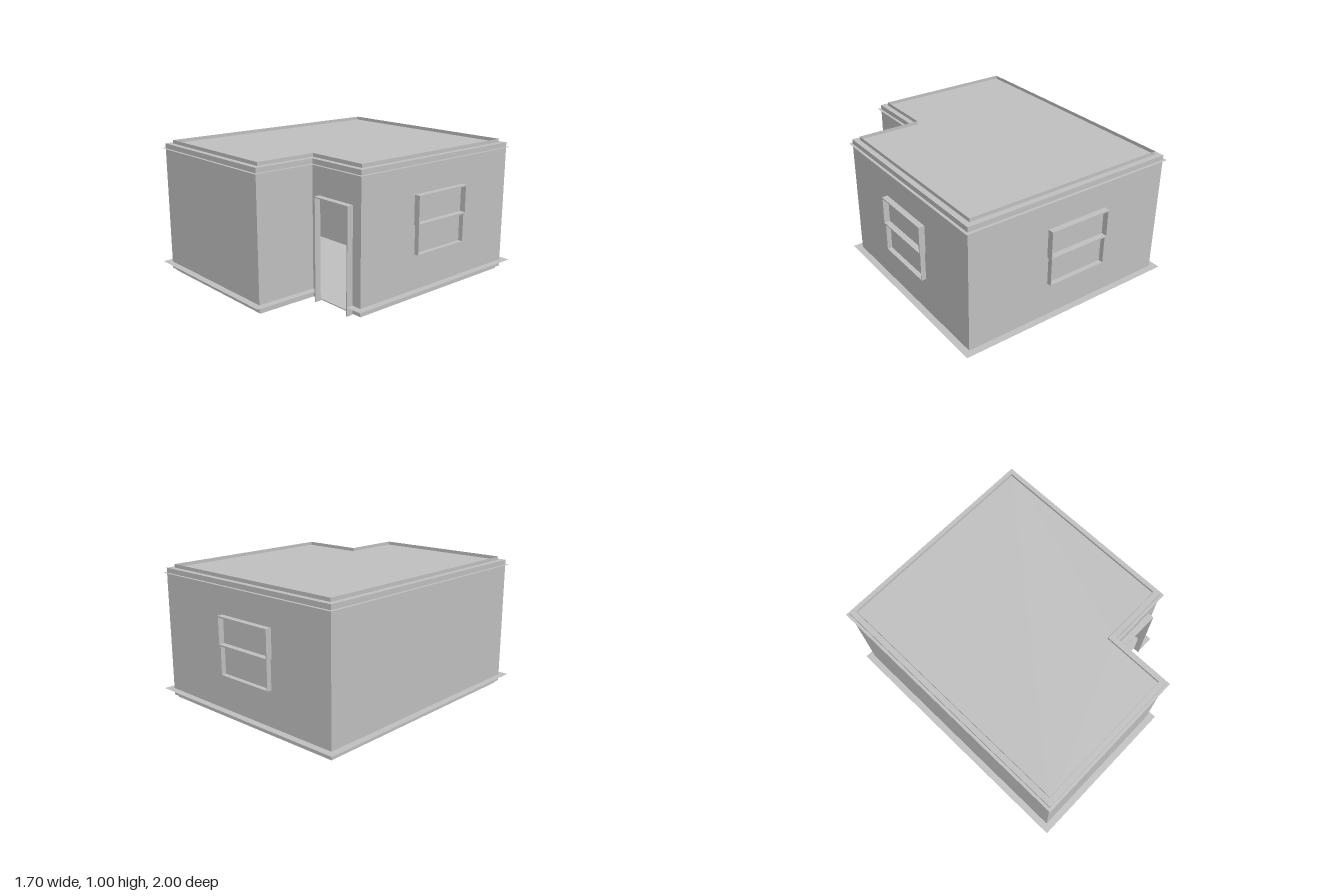
import * as THREE from 'three';

export function createModel() {
  const model = new THREE.Group();
  const plaster = new THREE.MeshStandardMaterial({ color: 0xc0c0c0, side: THREE.DoubleSide });
  plaster.name = 'pale grey plaster';

  // L-shaped plan as (x, z); edge 4 is the doorway
  const plan = [[-0.8, -0.95], [-0.8, 0.95], [0.33, 0.95], [0.33, 0.5],
    [0.4, 0.5], [0.725, 0.5], [0.8, 0.5], [0.8, -0.95]];
  const DOOR = 4;
  const n = plan.length;

  const add = (name, geometry, parent = model) => {
    const mesh = new THREE.Mesh(geometry, plaster);
    mesh.name = name;
    parent.add(mesh);
    return mesh;
  };

  // Outward normal of the edge that starts at point i
  const normal = (i) => {
    const [a, b] = [plan[(i + n) % n], plan[(i + 1) % n]];
    return [-Math.sign(b[1] - a[1]), Math.sign(b[0] - a[0])];
  };

  // Plan pushed outward by d with square corners
  const offset = (d) => plan.map((p, i) => {
    const [u, v] = [normal(i - 1), normal(i)];
    return [p[0] + d * Math.sign(u[0] + v[0]), p[1] + d * Math.sign(u[1] + v[1])];
  });

  // Strip around the plan from (offset d0, height y0) to (d1, y1)
  const band = (name, d0, y0, d1, y1, skipDoor = false) => {
    const [low, high] = [offset(d0), offset(d1)];
    const pos = [];
    for (let i = 0; i < n; i++) {
      if (skipDoor && i === DOOR) continue;
      const j = (i + 1) % n;
      const a = [low[i][0], y0, low[i][1]], b = [low[j][0], y0, low[j][1]];
      const c = [high[j][0], y1, high[j][1]], d = [high[i][0], y1, high[i][1]];
      pos.push(...a, ...b, ...c, ...a, ...c, ...d);
    }
    const g = new THREE.BufferGeometry();
    g.setAttribute('position', new THREE.Float32BufferAttribute(pos, 3));
    g.computeVertexNormals();
    return add(name, g);
  };

  // Flat slab surface in the shape of the plan
  const sheet = (name, d, y) => {
    const shape = new THREE.Shape(offset(d).map(([x, z]) => new THREE.Vector2(x, z)));
    const g = new THREE.ShapeGeometry(shape).rotateX(Math.PI / 2).translate(0, y, 0);
    return add(name, g);
  };

  // Walls, roof and floor
  band('walls', 0, 0.02, 0, 0.975, true);
  add('wallOverDoor', new THREE.PlaneGeometry(0.325, 0.235).translate(0.5625, 0.8575, 0.5));
  sheet('roof', 0, 0.975);
  sheet('floor', 0, 0.02);
  sheet('foundationUnderside', -0.02, 0);

  // Trim running round the building
  band('foundationEdge', -0.02, 0, -0.02, 0.02);
  band('skirtingLedge', 0, 0.07, 0.05, 0.07, true);
  band('corniceLedge', 0, 0.94, 0.02, 0.94);
  band('roofParapet', -0.04, 0.975, -0.04, 1);

  // Rectangular frame standing out from a wall, facing +z, base at y0
  const frame = (parent, name, w, y0, y1, depth, t, sill = true) => {
    const h = y1 - y0;
    for (const s of [-1, 1]) {
      add(name + 'Side', new THREE.BoxGeometry(t, h, depth)
        .translate(s * (w - t) / 2, (y0 + y1) / 2, depth / 2), parent);
    }
    add(name + 'Head', new THREE.BoxGeometry(w, t, depth).translate(0, y1 - t / 2, depth / 2), parent);
    if (sill) add(name + 'Sill', new THREE.BoxGeometry(w, t, depth).translate(0, y0 + t / 2, depth / 2), parent);
  };

  // Two-sash windows on the +x and back walls
  const sashWindow = (name, x, z, turn) => {
    const g = new THREE.Group();
    g.name = name;
    frame(g, 'upperSash', 0.48, 0.535, 0.74, 0.043, 0.01);
    frame(g, 'lowerSash', 0.46, 0.325, 0.535, 0.035, 0.005);
    g.position.set(x, 0, z);
    g.rotation.y = turn;
    model.add(g);
  };
  sashWindow('sideWindow', 0.8, -0.222, Math.PI / 2);
  sashWindow('backWindow', -0.047, -0.95, Math.PI);

  // Door surround
  const door = new THREE.Group();
  door.name = 'doorFrame';
  frame(door, 'door', 0.325, 0.005, 0.74, 0.046, 0.008, false);
  door.position.set(0.5625, 0, 0.5);
  model.add(door);

  // Interior seen through the doorway
  add('partition', new THREE.PlaneGeometry(1.6, 0.955).translate(0, 0.4975, -0.4));
  const pot = new THREE.CylinderGeometry(0.085, 0.062, 0.2, 8, 1, true).toNonIndexed();
  pot.computeVertexNormals();
  add('plantPot', pot.translate(0.643, 0.12, 0.28));

  return model;
}
